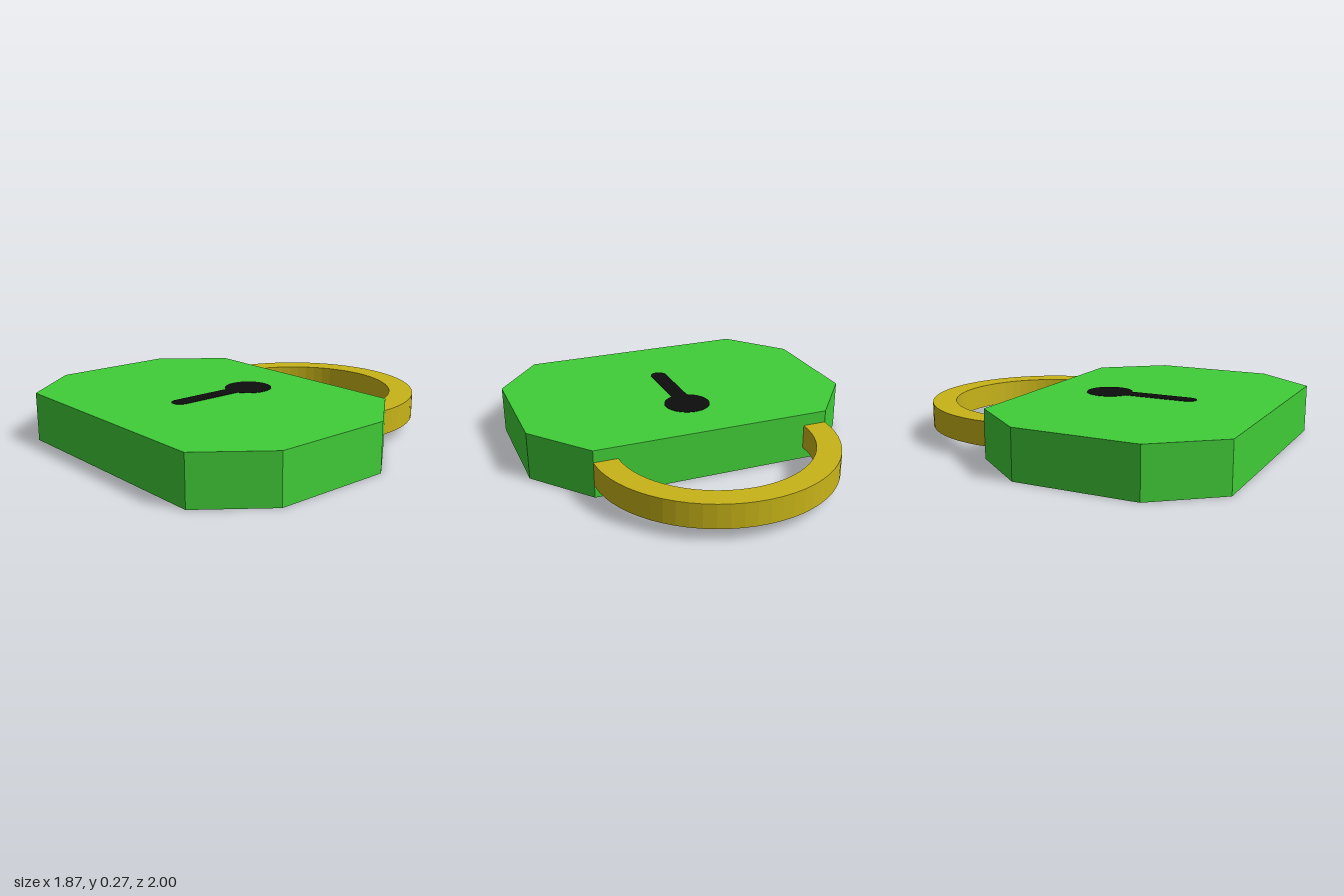
import * as THREE from 'three';

// Extrudes a plan outline (x, -z) upward from height y
function slab(name, shape, y, height, color, curveSegments) {
  const geometry = new THREE.ExtrudeGeometry(shape, { depth: height, bevelEnabled: false, curveSegments });
  geometry.rotateX(-Math.PI / 2);
  const mesh = new THREE.Mesh(geometry, new THREE.MeshStandardMaterial({ color, flatShading: true }));
  mesh.name = name;
  mesh.position.y = y;
  return mesh;
}

export function createModel() {
  const group = new THREE.Group();
  group.name = 'padlock';
  const height = 0.267;

  // Eight-sided body
  const body = new THREE.Shape([
    [-0.667, -1], [0.667, -1], [0.933, -0.667], [0.933, 0],
    [0.667, 0.333], [-0.667, 0.333], [-0.933, 0], [-0.933, -0.667],
  ].map(([x, y]) => new THREE.Vector2(x, y)));
  group.add(slab('body', body, 0, height, 0x40cc38));

  // Half-ring shackle, faceted
  const shackle = new THREE.Shape();
  shackle.absarc(0, 0.333, 0.667, 0, Math.PI, false);
  shackle.absarc(0, 0.333, 0.535, Math.PI, 0, true);
  group.add(slab('shackle', shackle, 0.067, 0.133, 0xc8b418, 16));

  // Keyhole: round opening joined to a slot with a rounded end
  const r = 0.128, w = 0.047, cx = 0.004, cy = -0.055;
  const a = Math.asin(w / r);
  const keyhole = new THREE.Shape();
  keyhole.absarc(cx, cy, r, -Math.PI / 2 + a, Math.PI * 1.5 - a, false);
  keyhole.absarc(cx, -0.523, w, Math.PI, Math.PI * 2, false);
  group.add(slab('keyhole', keyhole, height - 0.01, 0.012, 0x0d0d0d, 32));

  return group;
}
